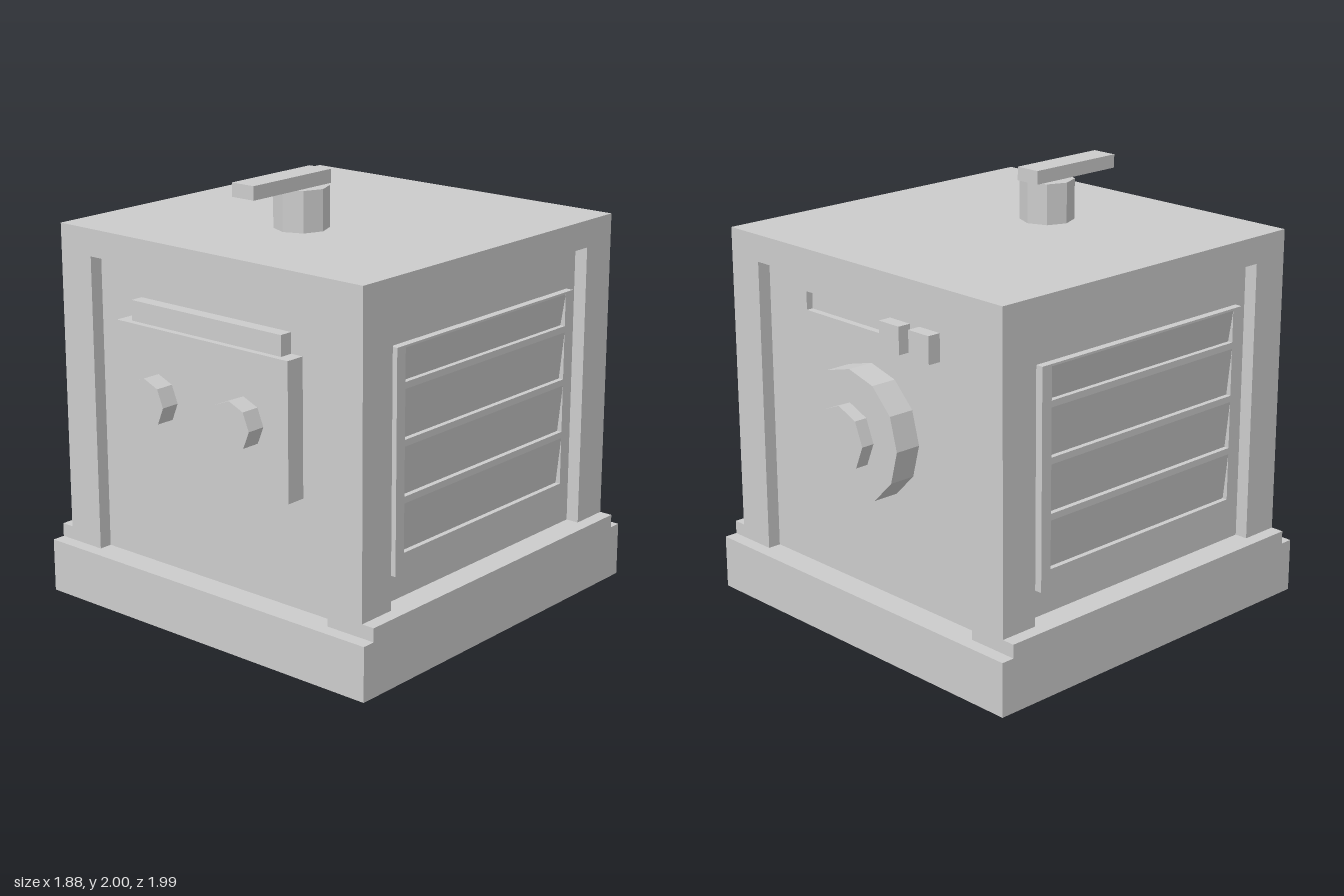
import * as THREE from 'three';

export function createModel() {
  const model = new THREE.Group();
  const body = new THREE.Group();
  body.name = 'oven';
  body.position.z = 0.006;
  model.add(body);

  const grey = new THREE.MeshStandardMaterial({ color: 0xcccccc });
  grey.name = 'plain grey';

  function add(name, geometry, parent = body) {
    const mesh = new THREE.Mesh(geometry, grey);
    mesh.name = name;
    parent.add(mesh);
    return mesh;
  }

  // Box given by its limits on each axis
  function box(name, x0, x1, y0, y1, z0, z1, parent) {
    const mesh = add(name, new THREE.BoxGeometry(x1 - x0, y1 - y0, z1 - z0), parent);
    mesh.position.set((x0 + x1) / 2, (y0 + y1) / 2, (z0 + z1) / 2);
    return mesh;
  }

  // Faceted prism along y, or along z when lying
  function prism(name, radius, length, sides, x, y, z, lying) {
    const geometry = new THREE.CylinderGeometry(radius, radius, length, sides).toNonIndexed();
    geometry.computeVertexNormals();
    if (lying) geometry.rotateX(Math.PI / 2);
    const mesh = add(name, geometry);
    mesh.position.set(x, y, z);
    return mesh;
  }

  const W = 0.875;       // half width of the housing
  const R = 0.8125;      // recessed wall
  const B = 0.9375;      // half width of the base
  const O = 0.6875;      // half width of the openings

  // Base with raised side steps
  box('base', -B, B, 0, 0.25, -B, B);
  for (const s of [-1, 1]) {
    const a = s * 0.75, b = s * B;
    box('sideStep', Math.min(a, b), Math.max(a, b), 0.25, 0.3125, -W, W);
  }

  // Housing: recessed core, corner posts and roof
  box('core', -R, R, 0.25, 1.625, -0.78, R);
  box('roof', -W, W, 1.625, 1.75, -W, W);
  for (const sx of [-1, 1]) for (const sz of [-1, 1]) {
    const mid = (O + W) / 2, size = W - O;
    const post = add('cornerPost', new THREE.BoxGeometry(size, 1.375, size));
    post.position.set(sx * mid, 0.9375, sz * mid);
  }

  // Rear wall with a shallow slot
  const rect = (shape, x0, x1, y0, y1) =>
    shape.moveTo(x0, y0).lineTo(x1, y0).lineTo(x1, y1).lineTo(x0, y1).closePath();
  const wall = rect(new THREE.Shape(), -R, R, 0.25, 1.625);
  wall.holes.push(rect(new THREE.Path(), -0.07, 0.43, 1.445, 1.53));
  const rear = add('rearWall', new THREE.ExtrudeGeometry(wall, { depth: R - 0.78, bevelEnabled: false }));
  rear.position.z = -R;

  // Rear buttons and dial
  for (const x of [-0.19, -0.375]) box('rearButton', x - 0.0625, x + 0.0625, 1.405, 1.53, -W, -R);
  prism('dialPlate', 0.3, 0.125, 12, 0, 1, -0.875, true);
  prism('dialKnob', 0.15, 0.0625, 8, 0, 1, -0.96875, true);

  // Front control panel
  box('controlPanel', -0.5, 0.5, 0.757, 1.377, R, 0.905);
  box('controlPanelRail', -0.4375, 0.4375, 1.377, 1.47, R, W);
  for (const x of [-0.25, 0.25]) prism('frontKnob', 0.112, 0.089, 8, x, 1.065, 0.9495, true);

  // Louvred side panels: sloping grooves, each with a ledge at the bottom
  const face = 0.848, deep = 0.824, low = 0.4375, high = 1.4375;
  const profile = new THREE.Shape().moveTo(0.8, low).lineTo(face, low);
  for (let i = 0; i < 4; i++) {
    const y = 0.53 + i * 0.25;
    profile.lineTo(face, y).lineTo(deep, y).lineTo(face, Math.min(y + 0.22, high - 0.01));
  }
  profile.lineTo(face, high).lineTo(0.8, high).closePath();
  for (const s of [1, -1]) {
    const panel = new THREE.Group();
    panel.name = s > 0 ? 'leftLouvrePanel' : 'rightLouvrePanel';
    const slats = add('louvres', new THREE.ExtrudeGeometry(profile, { depth: 1.14, bevelEnabled: false }), panel);
    slats.position.z = -0.57;
    box('louvreEnd', 0.8, face, low, high, 0.57, 0.625, panel);
    box('louvreEnd', 0.8, face, low, high, -0.625, -0.57, panel);
    if (s < 0) panel.rotation.y = Math.PI;
    body.add(panel);
  }

  // Roof post and lever
  prism('leverPost', 0.125, 0.1875, 8, 0, 1.84375, 0.25, false);
  box('lever', -0.0625, 0.0625, 1.9375, 2, 0.125, 0.625);

  return model;
}
